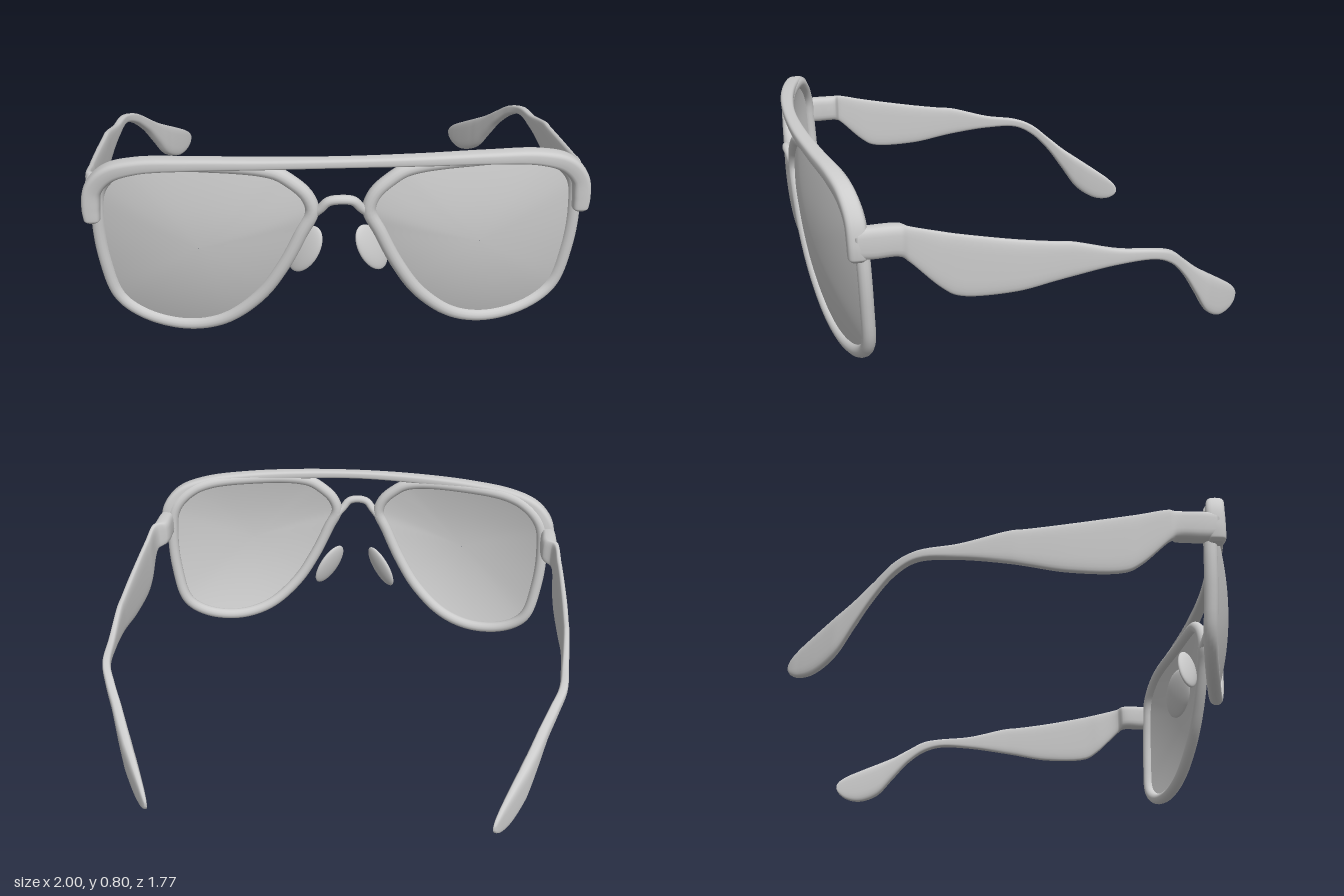
import * as THREE from 'three';

const material = new THREE.MeshStandardMaterial({ color: 0xcccccc });
const lensMaterial = new THREE.MeshStandardMaterial({ color: 0xcccccc, side: THREE.DoubleSide });
const V = (x, y, z) => new THREE.Vector3(x, y, z);

function add(group, name, geometry, mat = material) {
  const mesh = new THREE.Mesh(geometry, mat);
  mesh.name = name;
  group.add(mesh);
  return mesh;
}

// Closed skin over a list of rings, turned outward by the sign of its volume
function loft(rings) {
  const n = rings[0].length, pts = rings.flat(), index = [];
  for (let i = 0; i < rings.length - 1; i++) {
    for (let j = 0; j < n; j++) {
      const a = i * n + j, b = i * n + (j + 1) % n;
      index.push(a, b, a + n, b, b + n, a + n);
    }
  }
  for (const end of [0, rings.length - 1]) {
    const c = pts.length;
    pts.push(rings[end].reduce((s, p) => s.add(p), V(0, 0, 0)).divideScalar(n));
    for (let j = 0; j < n; j++) {
      const a = end * n + j, b = end * n + (j + 1) % n;
      if (end === 0) index.push(b, a, c); else index.push(a, b, c);
    }
  }
  let volume = 0;
  for (let k = 0; k < index.length; k += 3) {
    volume += pts[index[k]].dot(V(0, 0, 0).crossVectors(pts[index[k + 1]], pts[index[k + 2]]));
  }
  if (volume < 0) index.reverse();
  const g = new THREE.BufferGeometry().setFromPoints(pts);
  g.setIndex(index);
  g.computeVertexNormals();
  return g;
}

// Rounded-rectangle section, unit half sizes
const section = Array.from({ length: 24 }, (_, i) => {
  const a = i / 24 * Math.PI * 2, c = Math.cos(a), s = Math.sin(a);
  return [Math.sign(c) * Math.abs(c) ** 0.6, Math.sign(s) * Math.abs(s) ** 0.6];
});

// Wrapped and leaning surface in which the lenses lie
const faceZ = (x, y) => 0.85 - 0.19 * x * x - 0.16 * Math.min(0, y - 0.6) ** 2;

const outline = new THREE.CatmullRomCurve3([
  [0.915, 0.5], [0.905, 0.3], [0.86, 0.13], [0.76, 0.055], [0.6, 0.03], [0.45, 0.075],
  [0.31, 0.2], [0.215, 0.35], [0.145, 0.5], [0.105, 0.59], [0.125, 0.655], [0.18, 0.71],
  [0.25, 0.75], [0.5, 0.765], [0.78, 0.735], [0.89, 0.64],
].map(([x, y]) => V(x, y, 0)), true);

// Domed sheet inside the rim
function lensGeometry(side) {
  const N = 96, R = 14, edge = outline.getPoints(N).slice(0, N), pts = [], index = [];
  for (let i = 0; i <= R; i++) {
    const r = Math.max(i / R, 0.001);
    for (const p of edge) {
      const x = 0.53 + (p.x - 0.53) * r, y = 0.43 + (p.y - 0.43) * r;
      pts.push(V(side * x, y, faceZ(x, y) + 0.035 * (1 - r * r)));
    }
  }
  for (let i = 0; i < R; i++) {
    for (let j = 0; j < N; j++) {
      const a = i * N + j, b = i * N + (j + 1) % N;
      if (side < 0) index.push(a, a + N, b, b, a + N, b + N);
      else index.push(a, b, a + N, b, b + N, a + N);
    }
  }
  const g = new THREE.BufferGeometry().setFromPoints(pts);
  g.setIndex(index);
  g.computeVertexNormals();
  return g;
}

function rimGeometry(side) {
  const path = outline.getPoints(64).slice(0, 64).map(p => V(side * p.x, p.y, faceZ(p.x, p.y)));
  return new THREE.TubeGeometry(new THREE.CatmullRomCurve3(path, true), 140, 0.026, 14, true);
}

// Brow bar: x, y, half height, half depth from the middle outward
function browGeometry() {
  const half = [
    [0, 0.789, 0.018, 0.025], [0.3, 0.784, 0.02, 0.028], [0.55, 0.772, 0.024, 0.031],
    [0.75, 0.748, 0.029, 0.034], [0.86, 0.705, 0.034, 0.036], [0.92, 0.635, 0.035, 0.037],
    [0.934, 0.56, 0.035, 0.037], [0.934, 0.505, 0.031, 0.034], [0.934, 0.492, 0.018, 0.022],
  ];
  const rows = [...half.slice(1).reverse().map(([x, ...r]) => [-x, ...r]), ...half];
  const path = new THREE.CatmullRomCurve3(rows.map(r => V(r[0], r[1], 0.85 - 0.16 * r[0] ** 2)));
  const size = new THREE.CatmullRomCurve3(rows.map((r, i) => V(r[2], r[3], i * 0.01)));
  const rings = [];
  for (let i = 0; i <= 128; i++) {
    const p = path.getPoint(i / 128), s = size.getPoint(i / 128), t = path.getTangent(i / 128);
    const normal = V(-t.y, t.x, 0).normalize();
    rings.push(section.map(([u, v]) => p.clone().addScaledVector(normal, u * s.x).add(V(0, 0, v * s.y))));
  }
  return loft(rings);
}

// Temple arm: z, top, bottom, centre x, half thickness
function templeGeometry(side) {
  const rows = [
    [0.72, 0.615, 0.505, 0.935, 0.033], [0.66, 0.62, 0.5, 0.937, 0.035],
    [0.56, 0.62, 0.5, 0.94, 0.034], [0.535, 0.617, 0.485, 0.963, 0.017],
    [0.42, 0.59, 0.375, 0.972, 0.016], [0.36, 0.577, 0.34, 0.976, 0.016],
    [0.15, 0.537, 0.335, 0.982, 0.017], [0, 0.514, 0.36, 0.981, 0.016],
    [-0.06, 0.507, 0.37, 0.98, 0.016], [-0.25, 0.455, 0.393, 0.967, 0.016],
    [-0.4, 0.433, 0.392, 0.95, 0.018], [-0.48, 0.405, 0.355, 0.917, 0.02],
    [-0.56, 0.342, 0.275, 0.872, 0.022], [-0.63, 0.285, 0.175, 0.835, 0.025],
    [-0.7, 0.238, 0.075, 0.797, 0.026], [-0.78, 0.185, 0.027, 0.75, 0.021],
    [-0.84, 0.143, 0.028, 0.715, 0.015], [-0.873, 0.112, 0.048, 0.696, 0.01],
    [-0.886, 0.09, 0.068, 0.688, 0.005],
  ];
  const profile = new THREE.CatmullRomCurve3(rows.map(r => V(r[0], r[1], r[2])));
  const width = new THREE.CatmullRomCurve3(rows.map(r => V(r[3], r[4], r[0])));
  const rings = [];
  for (let i = 0; i <= 108; i++) {
    const { x: z, y: top, z: bottom } = profile.getPoint(i / 108), w = width.getPoint(i / 108);
    rings.push(section.map(([u, v]) =>
      V(side * (w.x + u * w.y), (top + bottom) / 2 + v * (top - bottom) / 2, z)));
  }
  return loft(rings);
}

// Flattened oval pad, slanted along the nose
function padGeometry() {
  const long = V(0.048, -0.1, -0.008), wide = V(0.045, 0.012, -0.045);
  const thin = V(0, 0, 0).crossVectors(long, wide).setLength(0.02);
  const m = new THREE.Matrix4().makeBasis(wide, long, thin).setPosition(0.13, 0.35, 0.72);
  if (m.determinant() < 0) m.makeBasis(wide, long, thin.negate()).setPosition(0.13, 0.35, 0.72);
  return new THREE.SphereGeometry(1, 28, 18).applyMatrix4(m);
}

export function createModel() {
  const model = new THREE.Group();
  model.name = 'sunglasses';
  add(model, 'browBar', browGeometry());

  // Arched nose bridge between the rims
  const arch = [[-0.105, 0.57, 0.84], [-0.073, 0.605, 0.855], [-0.045, 0.637, 0.865], [0, 0.646, 0.87],
    [0.045, 0.637, 0.865], [0.073, 0.605, 0.855], [0.105, 0.57, 0.84]];
  add(model, 'noseBridge', new THREE.TubeGeometry(
    new THREE.CatmullRomCurve3(arch.map(p => V(...p))), 40, 0.018, 14));

  for (const [side, label] of [[1, 'left'], [-1, 'right']]) {
    add(model, label + 'Lens', lensGeometry(side), lensMaterial);
    add(model, label + 'Rim', rimGeometry(side));
    add(model, label + 'Temple', templeGeometry(side));
    add(model, label + 'NosePad', padGeometry()).scale.x = side;
  }
  return model;
}
